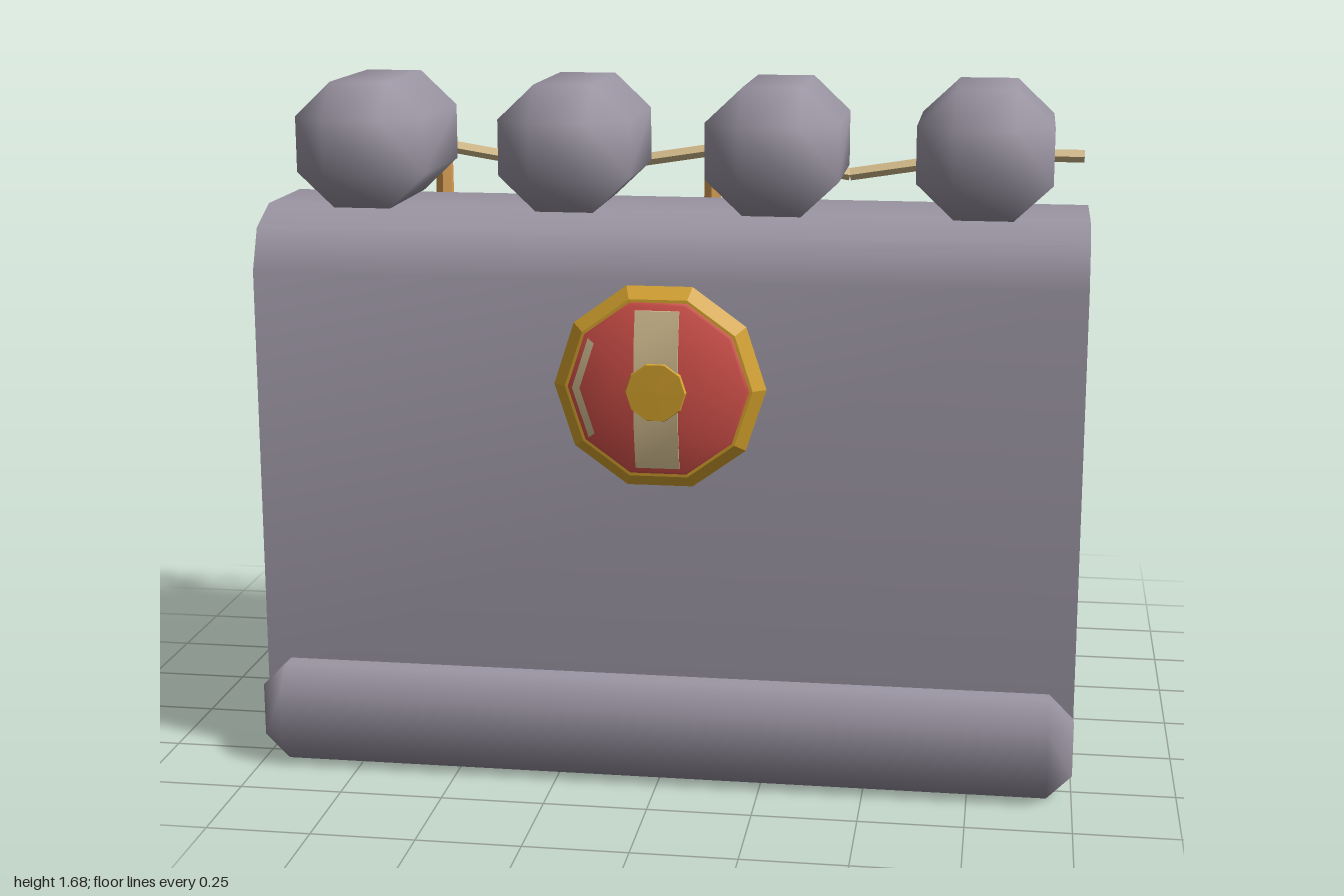
import * as THREE from 'three';
import { mergeVertices, toCreasedNormals } from 'three/addons/utils/BufferGeometryUtils.js';
import { ConvexGeometry } from 'three/addons/geometries/ConvexGeometry.js';

const mat = (name, color, flatShading = false) => {
  const m = new THREE.MeshStandardMaterial({ color, flatShading });
  m.name = name;
  return m;
};

// Box with every edge chamfered and softly blended normals
function softBox(w, h, d, bx, by, bz) {
  const pts = [];
  for (const sx of [-1, 1]) for (const sy of [-1, 1]) for (const sz of [-1, 1]) {
    const x = w / 2, y = h / 2, z = d / 2;
    pts.push(new THREE.Vector3(sx * x, sy * (y - by), sz * (z - bz)));
    pts.push(new THREE.Vector3(sx * (x - bx), sy * y, sz * (z - bz)));
    pts.push(new THREE.Vector3(sx * (x - bx), sy * (y - by), sz * z));
  }
  let g = new ConvexGeometry(pts);
  g.deleteAttribute('normal');
  g = mergeVertices(g, 1e-4);
  g.computeVertexNormals();
  return g;
}

// Extrude a [z, y] outline along x, centred on x = 0
function extrudeX(outline, width) {
  const shape = new THREE.Shape(outline.map(([z, y]) => new THREE.Vector2(z, y)));
  const g = new THREE.ExtrudeGeometry(shape, { depth: width, bevelEnabled: false });
  g.rotateY(-Math.PI / 2).translate(width / 2, 0, 0);
  return toCreasedNormals(g, 0.85);
}

// Ten-sided turned form facing +z
function turned(profile, segments = 10, start = Math.PI / 2) {
  const pts = profile.map(([r, z]) => new THREE.Vector2(r, z));
  return new THREE.LatheGeometry(pts, segments, start, segments * Math.PI / 5).rotateX(Math.PI / 2);
}

export function createModel() {
  const model = new THREE.Group();
  model.name = 'castleWall';
  const stone = mat('stone', 0x9c96a4);
  const wood = mat('wood', 0xd9a055, true);
  const deckWood = mat('deck wood', 0xd9a055);
  const darkWood = mat('dark wood', 0x77501f);
  const rope = mat('rope', 0xd6bd8c, true);
  const red = mat('red', 0xdb544d);
  const gold = mat('gold', 0xd8a52e, true);
  const cream = mat('cream', 0xd8c294);

  const add = (name, geo, material, x = 0, y = 0, z = 0, parent = model) => {
    const m = new THREE.Mesh(geo, material);
    m.name = name;
    m.position.set(x, y, z);
    parent.add(m);
    return m;
  };
  // Straight pole between two points
  const beam = (name, a, b, r, sides, material, parent = model) => {
    const from = new THREE.Vector3(...a), to = new THREE.Vector3(...b);
    const dir = to.clone().sub(from);
    const m = add(name, new THREE.CylinderGeometry(r, r, dir.length(), sides), material, 0, 0, 0, parent);
    m.position.copy(from).add(to).multiplyScalar(0.5);
    m.quaternion.setFromUnitVectors(new THREE.Vector3(0, 1, 0), dir.normalize());
    return m;
  };

  // Stonework
  add('base', softBox(2, 0.25, 0.74, 0.06, 0.06, 0.06), stone, 0, 0.125, 0.24);
  add('wall', extrudeX([
    [-0.035, 0.18], [0.51, 0.18], [0.502, 1.23], [0.46, 1.33], [0.36, 1.375],
    [0.11, 1.375], [0.02, 1.33], [-0.027, 1.23],
  ], 1.998), stone);
  for (const x of [-0.75, -0.25, 0.25, 0.75]) {
    add('merlon', softBox(0.32, 0.305, 0.5, 0.09, 0.085, 0.085), stone, x, 1.527, 0.24);
  }

  // Round shield
  const shield = new THREE.Group();
  shield.name = 'shield';
  shield.position.set(0, 0.98, 0);
  model.add(shield);
  add('shieldRim', turned([[0.225, 0.495], [0.255, 0.525], [0.225, 0.55], [0.2, 0.552]]), gold, 0, 0, 0, shield);
  add('shieldFace', turned([[0.22, 0.548], [0.21, 0.558], [0.11, 0.584], [0, 0.588]]), red, 0, 0, 0, shield);
  add('shieldStripe', extrudeX([
    [0.56, -0.19], [0.567, -0.19], [0.589, -0.1], [0.593, 0], [0.589, 0.1], [0.567, 0.19],
    [0.56, 0.19], [0.582, 0.1], [0.586, 0], [0.582, -0.1],
  ], 0.105), cream, 0, 0, 0, shield);
  add('shieldEdgeMark', turned([[0.205, 0.563], [0.186, 0.568]], 2, Math.PI * 1.3), cream, 0, 0, 0, shield);
  add('shieldBoss', turned([[0.073, 0.587], [0.07, 0.596], [0, 0.597]]), gold, 0, 0, 0, shield);

  // Walkway deck with plank seams
  add('deck', softBox(2, 0.075, 0.395, 0.035, 0.03, 0.035), deckWood, 0, 1.003, -0.263);
  for (const x of [-0.7, -0.42, -0.14, 0.14, 0.415, 0.695]) {
    for (const y of [0.966, 1.04]) {
      add('plankSeam', new THREE.BoxGeometry(0.018, 0.006, 0.31), darkWood, x, y, -0.255);
    }
  }
  for (const x of [-0.33, 0.34]) {
    add('deckNotch', new THREE.BoxGeometry(0.06, 0.03, 0.006), darkWood, x, 1.003, -0.459);
  }

  // Legs and braces under the deck
  for (const x of [-0.675, 0, 0.675]) {
    add('leg', new THREE.CylinderGeometry(0.055, 0.057, 0.9, 6, 1, false, Math.PI / 6), wood, x, 0.53, -0.382)
      .rotation.y = Math.PI / 3;
    beam('brace', [x, 0.91, -0.01], [x, 0.33, -0.36], 0.036, 6, wood);
  }

  // Railing
  for (const x of [-0.75, 0, 0.75]) {
    add('railPost', new THREE.CylinderGeometry(0.024, 0.027, 0.45, 6), wood, x, 1.225, -0.423);
    add('railPostCap', new THREE.CylinderGeometry(0.01, 0.024, 0.025, 6), wood, x, 1.462, -0.423);
  }
  const dips = [[-1, 1.428], [-0.75, 1.428], [-0.375, 1.368], [0, 1.428], [0.375, 1.368], [0.75, 1.428], [1, 1.428]];
  for (let i = 0; i < dips.length - 1; i++) {
    beam('railRope', [...dips[i], -0.427], [...dips[i + 1], -0.427], 0.017, 4, rope);
  }

  // Ladder
  const ladder = new THREE.Group();
  ladder.name = 'ladder';
  model.add(ladder);
  for (const x of [0.24, 0.455]) {
    beam('ladderRail', [x, 1.15, -0.492], [x, 0.23, -0.588], 0.025, 4, wood, ladder);
  }
  for (const t of [0.13, 0.38, 0.63, 0.87]) {
    const y = 1.15 - 0.92 * t, z = -0.492 - 0.096 * t;
    beam('ladderRung', [0.23, y, z], [0.465, y, z], 0.017, 4, wood, ladder);
  }
  return model;
}
